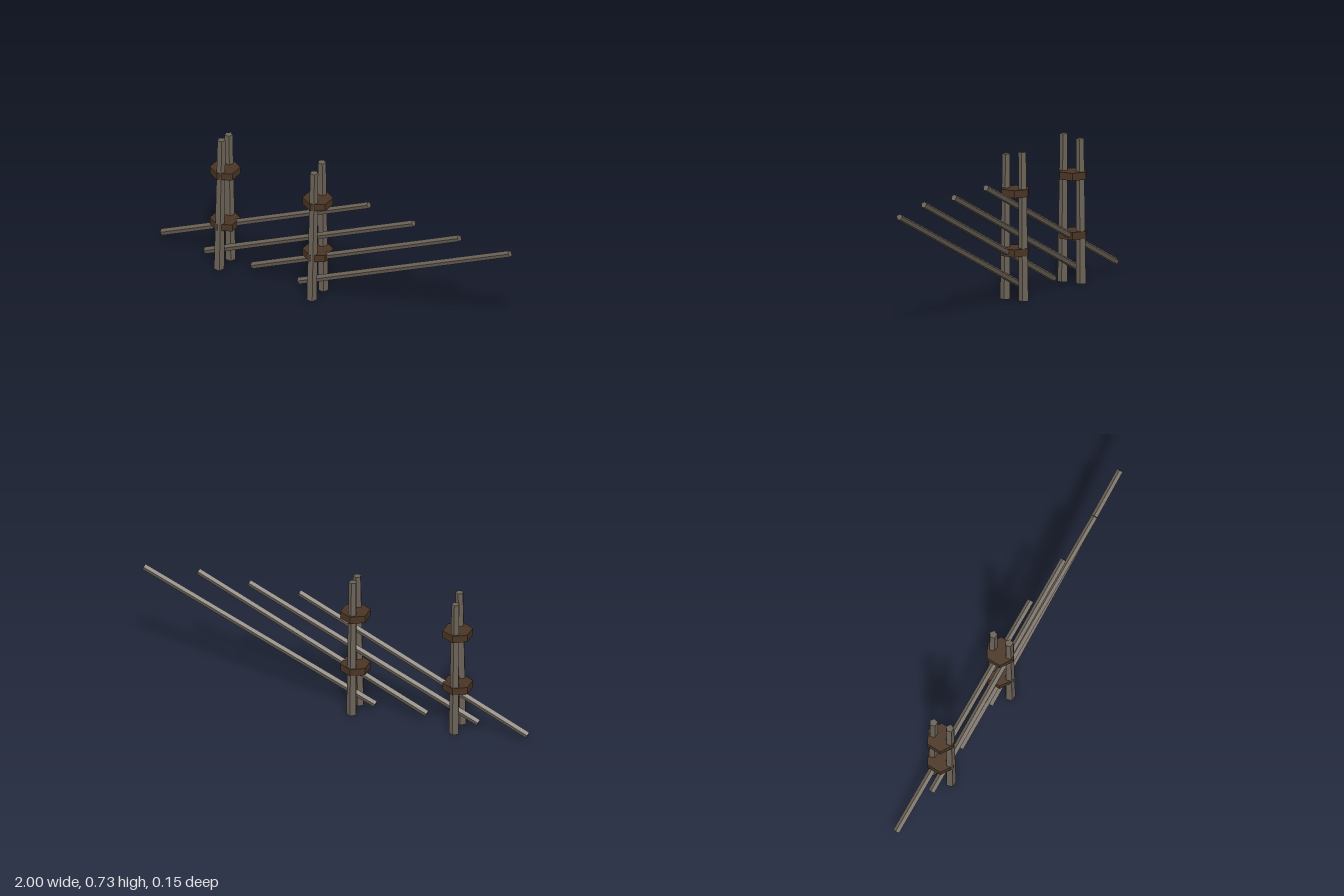
import * as THREE from 'three';

export function createModel() {
  const group = new THREE.Group();
  const wood = new THREE.MeshStandardMaterial({ color: 0x6b6257, flatShading: true });
  const binding = new THREE.MeshStandardMaterial({ color: 0x4a3524, flatShading: true });

  // Five-sided tapered pole from a to b, with one edge turned towards apex
  function pole(name, a, b, r0, r1, apex) {
    const start = new THREE.Vector3(...a);
    const end = new THREE.Vector3(...b);
    const axis = end.clone().sub(start);
    const length = axis.length();
    axis.normalize();
    const side = new THREE.Vector3().crossVectors(axis, apex).normalize();
    const out = new THREE.Vector3().crossVectors(side, axis);
    const mesh = new THREE.Mesh(new THREE.CylinderGeometry(r1, r0, length, 5), wood);
    mesh.name = name;
    mesh.quaternion.setFromRotationMatrix(new THREE.Matrix4().makeBasis(side, axis, out));
    mesh.position.copy(start).add(end).multiplyScalar(0.5);
    group.add(mesh);
  }

  // Paired upright posts, leaning slightly together, with two hexagonal bindings
  const back = new THREE.Vector3(0, 0, -1);
  const pairs = [
    { x: -0.622, front: [-0.615, 0.73], rear: [-0.627, 0.712] },
    { x: -0.094, front: [-0.087, 0.716], rear: [-0.096, 0.73] },
  ];
  for (const { x, front, rear } of pairs) {
    pole('frontPost', [x, 0, 0.056], [front[0], front[1], 0.0455], 0.026, 0.0205, back);
    pole('rearPost', [x, 0, -0.049], [rear[0], rear[1], -0.04], 0.026, 0.0205, back);
    for (const y of [0.24, 0.531]) {
      const mesh = new THREE.Mesh(new THREE.CylinderGeometry(0.074, 0.074, 0.037, 6), binding);
      mesh.name = 'binding';
      mesh.position.set(x, y, 0);
      group.add(mesh);
    }
  }

  // Slanting rails resting between the posts
  const up = new THREE.Vector3(0, 1, 0);
  const rails = [
    [[-0.991, 0.045, -0.018], [0.191, 0.597, -0.009]],
    [[-0.725, 0.045, 0.013], [0.456, 0.59, 0.008]],
    [[-0.461, 0.045, 0.008], [0.721, 0.597, 0.015]],
    [[-0.196, 0.045, 0.007], [0.991, 0.583, -0.013]],
  ];
  for (const [a, b] of rails) pole('rail', a, b, 0.0175, 0.0165, up);

  return group;
}
